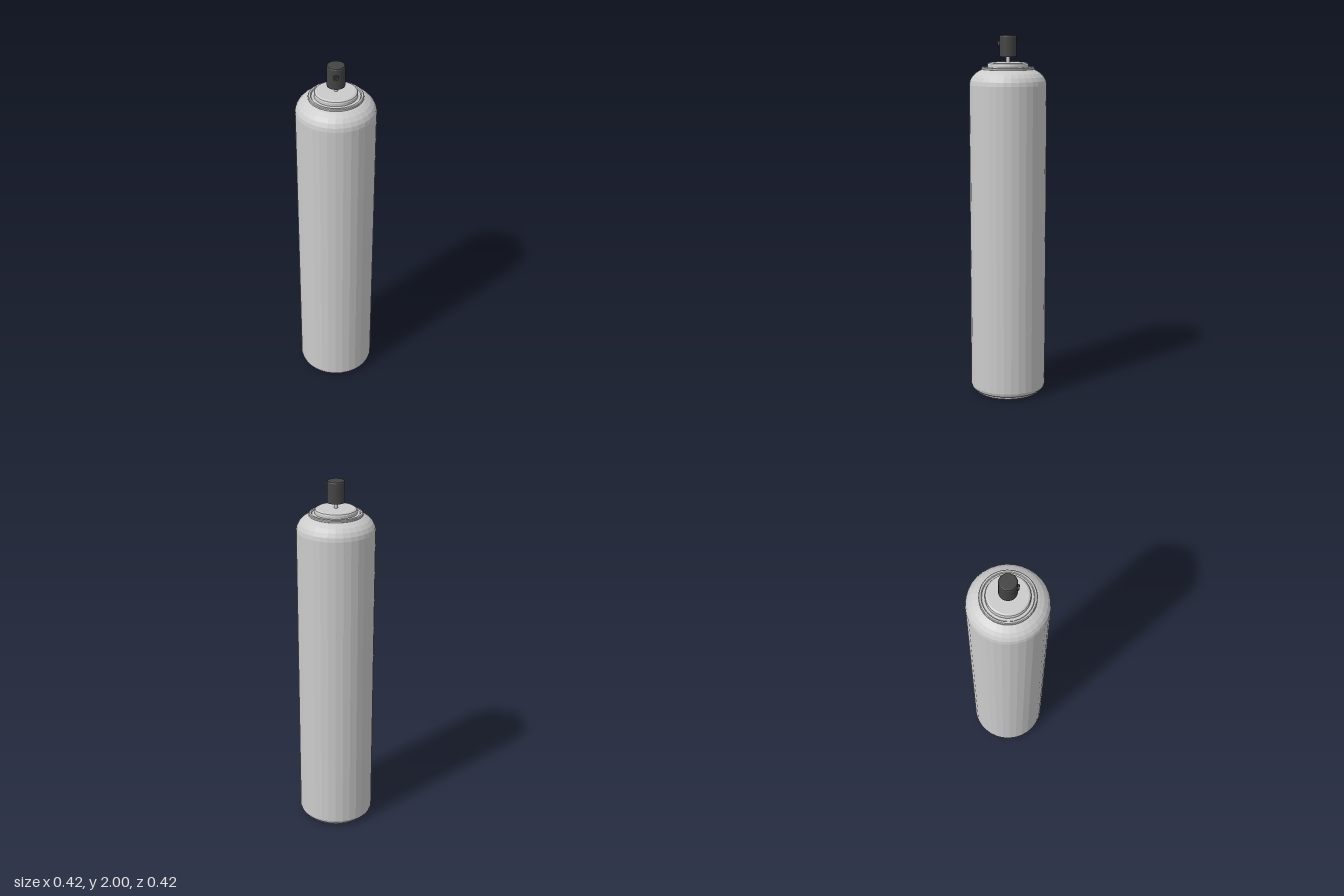
import * as THREE from 'three';

const SIDES = 32;

function material(color) {
  return new THREE.MeshStandardMaterial({ color, flatShading: true });
}

// Revolves [radius, height] pairs, listed from the underside to the top
function turned(name, profile, sides, mat) {
  const points = profile.map(([r, y]) => new THREE.Vector2(r, y));
  const mesh = new THREE.Mesh(new THREE.LatheGeometry(points, sides), mat);
  mesh.name = name;
  return mesh;
}

export function createModel() {
  const group = new THREE.Group();
  group.name = 'sprayCan';
  const metal = material(0xcccccc);
  const dark = material(0x444444);

  // Concave underside, as a shallow dome
  const dome = [];
  for (let i = 0; i <= 6; i++) {
    const a = (i / 6) * Math.PI / 2;
    dome.push([0.17 * Math.sin(a), 0.012 + 0.07 * Math.cos(a)]);
  }

  // Can: base ring, straight wall, rounded shoulder
  group.add(turned('canBody', [
    ...dome,
    [0.172, 0.002], [0.176, 0], [0.182, 0.002], [0.184, 0.014],
    [0.197, 0.018], [0.206, 0.027], [0.21, 0.04],
    [0.21, 1.735], [0.206, 1.757], [0.195, 1.778], [0.177, 1.797],
    [0.155, 1.811], [0.138, 1.819], [0.12, 1.819],
  ], SIDES, metal));

  // Rolled seam around the neck
  group.add(turned('neckSeam', [
    [0.138, 1.812], [0.143, 1.818], [0.143, 1.826], [0.139, 1.83],
    [0.13, 1.83], [0.128, 1.826], [0.127, 1.815],
  ], SIDES, metal));

  // Raised valve cup
  group.add(turned('valveCup', [
    [0.128, 1.818], [0.126, 1.825], [0.112, 1.827], [0.112, 1.842],
    [0.109, 1.849], [0.1, 1.854], [0, 1.854],
  ], SIDES, metal));

  // Thin valve stem
  const stem = new THREE.Mesh(new THREE.CylinderGeometry(0.01, 0.01, 0.06, 12), metal);
  stem.name = 'valveStem';
  stem.position.y = 1.875;
  group.add(stem);

  // Push button with a softened top edge
  group.add(turned('pushButton', [
    [0, 1.885], [0.047, 1.885], [0.047, 1.992], [0.044, 1.998], [0.04, 2], [0, 2],
  ], 24, dark));

  // Spray outlet: short tube with a recessed hole, facing forward
  const outlet = turned('sprayOutlet', [
    [0.015, 0.035], [0.015, 0.054], [0.006, 0.054], [0.005, 0.048], [0, 0.048],
  ], 16, dark);
  outlet.rotation.x = Math.PI / 2;
  outlet.position.y = 1.953;
  group.add(outlet);

  return group;
}
